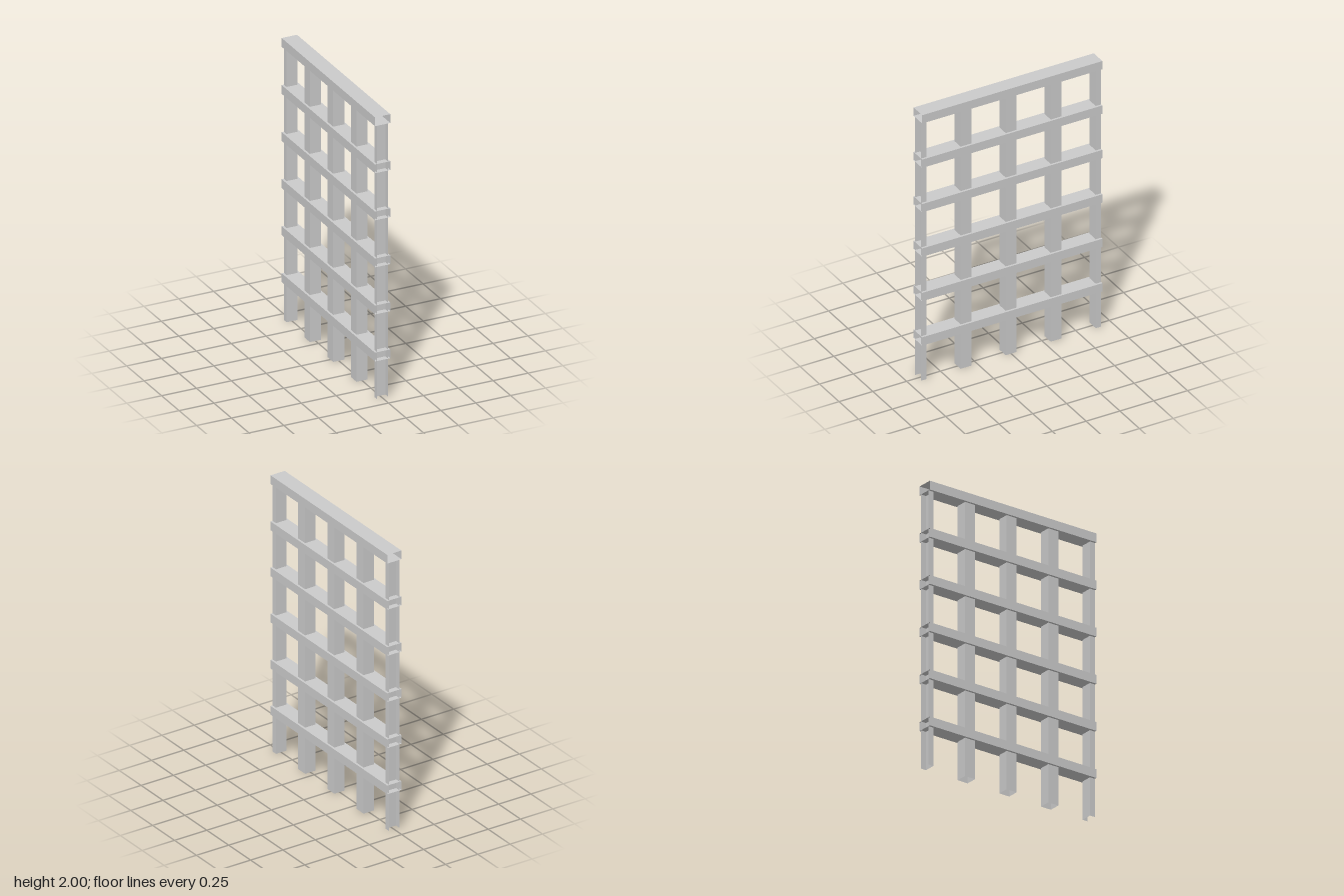
import * as THREE from 'three';

const DEPTH = 1.333;           // overall length along z
const RAIL_W = 0.11, RAIL_H = 0.0625;
const POST_W = 0.08;
const POST_TOP = 2 - RAIL_H;

// Thin walls: a path of [x, z] points raised from y = 0 to y = height
function walls(path, height) {
  const positions = [];
  for (let i = 0; i < path.length - 1; i++) {
    const [ax, az] = path[i], [bx, bz] = path[i + 1];
    positions.push(ax, 0, az, bx, 0, bz, bx, height, bz);
    positions.push(ax, 0, az, bx, height, bz, ax, height, az);
  }
  const geometry = new THREE.BufferGeometry();
  geometry.setAttribute('position', new THREE.Float32BufferAttribute(positions, 3));
  geometry.computeVertexNormals();
  return geometry;
}

// Closed rectangular outline, ordered so the walls face outwards
function rectangle(w, d) {
  const x = w / 2, z = d / 2;
  return [[-x, z], [x, z], [x, -z], [-x, -z], [-x, z]];
}

export function createModel() {
  const group = new THREE.Group();
  const material = new THREE.MeshStandardMaterial({
    color: 0xcccccc, flatShading: true, side: THREE.DoubleSide,
  });
  const add = (name, geometry) => {
    const mesh = new THREE.Mesh(geometry, material);
    mesh.name = name;
    group.add(mesh);
    return mesh;
  };

  // Six hollow horizontal rails, open at both ends
  const railGeometry = walls(rectangle(RAIL_W, RAIL_H), DEPTH)
    .translate(0, -DEPTH / 2, 0).rotateX(Math.PI / 2);
  for (let i = 1; i <= 6; i++) {
    add('rail', railGeometry).position.y = i / 3 - RAIL_H / 2;
  }

  // Three hollow square posts, running up to the underside of the top rail
  const postGeometry = walls(rectangle(POST_W, POST_W), POST_TOP);
  for (const z of [-1, 0, 1]) add('post', postGeometry).position.z = z / 3;

  // Half posts at the ends: channels open outwards
  const x = POST_W / 2, outer = DEPTH / 2, inner = outer - POST_W / 2;
  const channel = walls([[x, outer], [x, inner], [-x, inner], [-x, outer]], POST_TOP);
  add('frontEndPost', channel);
  add('backEndPost', channel).rotation.y = Math.PI;

  return group;
}
